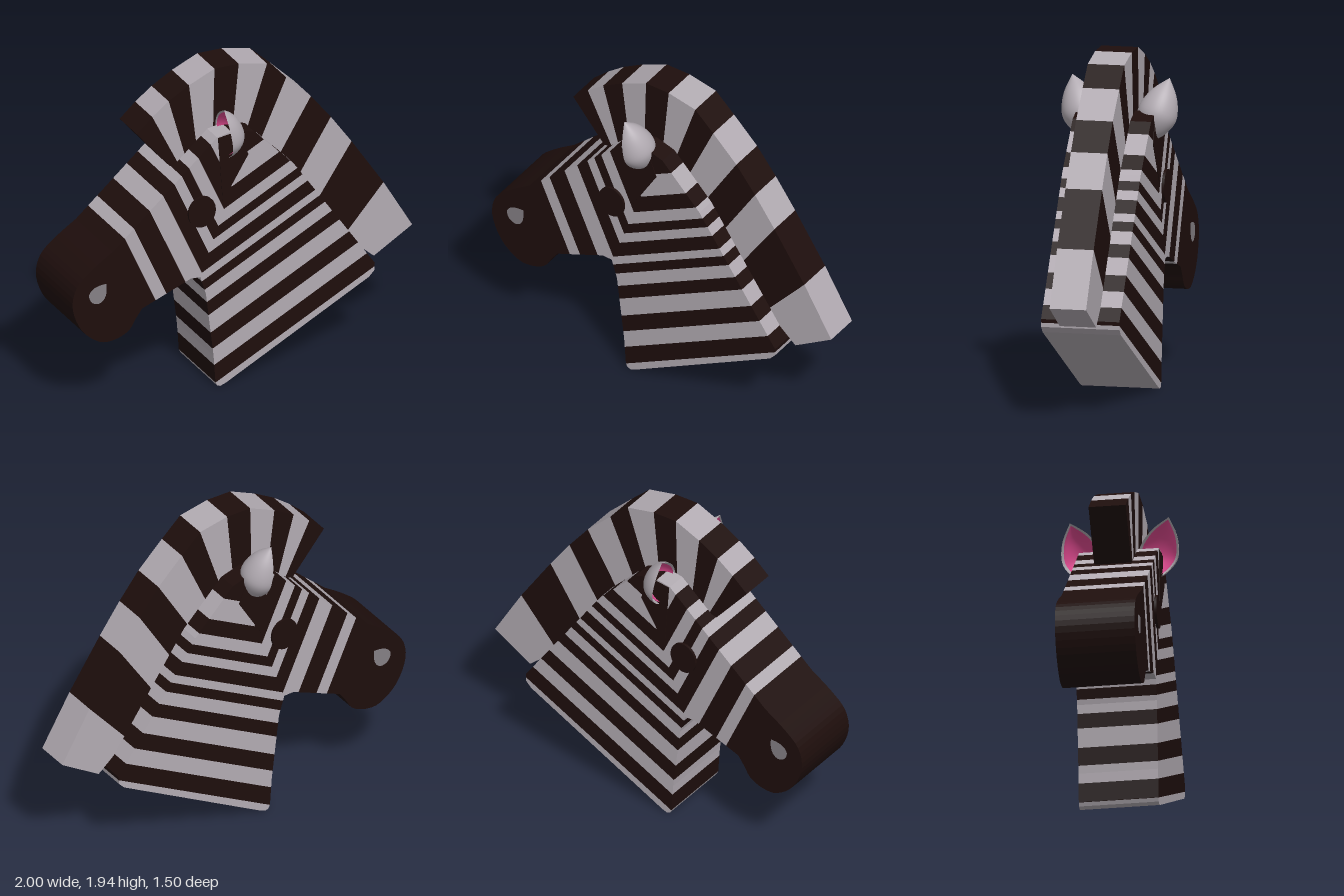
import * as THREE from 'three';

const light = new THREE.MeshStandardMaterial({ color: 0xb2abb2 });
const dark = new THREE.MeshStandardMaterial({ color: 0x1e0e0c });
const grey = new THREE.MeshStandardMaterial({ color: 0x858085 });
const shell = new THREE.MeshStandardMaterial({ color: 0xb2abb2, side: THREE.DoubleSide });
const pink = new THREE.MeshStandardMaterial({ color: 0xe04a90, side: THREE.BackSide });

const HEAD_WIDTH = 0.45, MANE_WIDTH = 0.21;

// keep the part of a polygon where f(point) >= 0
function clip(poly, f) {
  const out = [];
  poly.forEach((p, i) => {
    const q = poly[(i + 1) % poly.length], a = f(p), b = f(q);
    if (a >= 0) out.push(p);
    if ((a > 0 && b < 0) || (a < 0 && b > 0)) out.push(p.clone().lerp(q, a / (a - b)));
  });
  return out;
}

// a flat slab centred on z = 0
function slab(name, points, width, material) {
  const geometry = new THREE.ExtrudeGeometry(new THREE.Shape(points), { depth: width, bevelEnabled: false });
  geometry.translate(0, 0, -width / 2);
  const mesh = new THREE.Mesh(geometry, material);
  mesh.name = name;
  return mesh;
}

// cut a polygon into stripes of alternating colour along a field
function stripes(group, name, poly, field, limits, materials) {
  const edges = [-10, ...limits, 10];
  for (let i = 0; i < edges.length - 1; i++) {
    const piece = clip(clip(poly, p => field(p) - edges[i]), p => edges[i + 1] - field(p));
    if (piece.length > 2) group.add(slab(name, piece, HEAD_WIDTH, materials[i % 2]));
  }
}

const toPoints = list => list.map(([x, y]) => new THREE.Vector2(x, y));

export function createModel() {
  const root = new THREE.Group();
  root.name = 'stripedHorseHead';
  const body = new THREE.Group();
  body.name = 'turnedHead';
  body.rotation.y = 0.595;
  body.position.set(-0.014, 0, -0.021);
  root.add(body);

  // side profile: rounded muzzle, then brow, nape, neck and throat
  const muzzle = new THREE.SplineCurve(toPoints([
    [-0.605, 0.605], [-0.645, 0.55], [-0.69, 0.485], [-0.775, 0.45], [-0.87, 0.458], [-0.98, 0.55],
    [-1.04, 0.7], [-1.015, 0.83], [-0.92, 0.92], [-0.79, 1.005],
  ])).getPoints(36);
  const profile = [
    ...muzzle,
    ...toPoints([
      [-0.714, 1.07], [-0.135, 1.57], [-0.02, 1.59], [0.1, 1.55], [0.347, 1.29], [0.854, 0.545], [0.852, 0.5],
      [0.818, 0.465], [-0.08, 0.012], [-0.115, 0], [-0.135, 0.008], [-0.145, 0.03], [-0.157, 0.2], [-0.205, 0.6],
      [-0.24, 0.715], [-0.3, 0.72], [-0.497, 0.645],
    ]),
  ].reverse();

  // chevrons: head and neck stripes meet on a line rising from the throat
  const seam = p => p.x + 0.24 - 0.376 * (p.y - 0.715);
  const shared = [0.855, 0.948, 1.012, 1.075, 1.155, 1.26, 1.41, 1.52];
  stripes(body, 'neckStripe', clip(profile, seam), p => p.y - 0.497 * p.x,
    [0.1, 0.217, 0.327, 0.437, 0.557, 0.647, 0.735, 0.8, ...shared], [light, dark]);
  stripes(body, 'headStripe', clip(profile, p => -seam(p)), p => p.y + 2.24 * p.x,
    [-0.529, -0.35, -0.04, ...shared.map(n => 0.177 + 2.266 * (n - 0.834))], [dark, light]);

  // dark wedge below the ears
  body.add(slab('earPatch', toPoints([[-0.13, 1.565], [-0.1, 1.16], [0.06, 1.42], [0.0, 1.58]]),
    HEAD_WIDTH + 0.006, dark));

  // mane: fan of blocks between an outer and an inner outline
  const outer = toPoints([
    [-0.577, 1.64], [-0.48, 1.725], [-0.377, 1.8], [-0.25, 1.87], [-0.09, 1.937], [0.062, 1.932], [0.24, 1.89],
    [0.36, 1.775], [0.515, 1.62], [0.64, 1.46], [0.77, 1.275], [0.97, 0.97], [1.15, 0.66],
  ]);
  const inner = toPoints([
    [-0.37, 1.39], [-0.32, 1.4], [-0.27, 1.42], [-0.2, 1.46], [-0.1, 1.5], [0.02, 1.5], [0.1, 1.47],
    [0.18, 1.38], [0.28, 1.24], [0.4, 1.08], [0.53, 0.92], [0.72, 0.69], [0.91, 0.52],
  ]);
  for (let i = 0; i < outer.length - 1; i++) {
    body.add(slab('maneBlock', [outer[i], inner[i], inner[i + 1], outer[i + 1]], MANE_WIDTH, i % 2 ? light : dark));
  }

  // paired features
  const earProfile = new THREE.SplineCurve(toPoints([
    [0, 0], [0.065, 0.05], [0.108, 0.13], [0.108, 0.2], [0.07, 0.29], [0, 0.375],
  ])).getPoints(20).map(p => p.setX(Math.max(p.x, 0)));
  const earGeometry = new THREE.LatheGeometry(earProfile, 20, 0, Math.PI);
  const nostrilShape = new THREE.Shape();
  nostrilShape.moveTo(0.055, 0.055);
  nostrilShape.quadraticCurveTo(-0.04, 0.06, -0.055, 0.005);
  nostrilShape.quadraticCurveTo(-0.05, -0.055, 0.005, -0.06);
  nostrilShape.quadraticCurveTo(0.065, -0.05, 0.055, 0.055);

  for (const side of [1, -1]) {
    const features = new THREE.Group();
    features.name = side > 0 ? 'leftFeatures' : 'rightFeatures';
    features.scale.z = side;
    body.add(features);

    const eye = new THREE.Mesh(new THREE.CylinderGeometry(0.085, 0.085, 0.03, 28), dark);
    eye.name = 'eye';
    eye.rotation.x = Math.PI / 2;
    eye.scale.z = 1.12;
    eye.position.set(-0.235, 1.13, HEAD_WIDTH / 2);
    features.add(eye);

    const nostril = new THREE.Mesh(new THREE.ShapeGeometry(nostrilShape), grey);
    nostril.name = 'nostril';
    nostril.position.set(-0.885, 0.76, HEAD_WIDTH / 2 + 0.003);
    features.add(nostril);

    const ear = new THREE.Group();
    ear.name = 'ear';
    ear.position.set(-0.06, 1.41, 0.17);
    ear.rotation.set(0.3, 0, 0.16);
    const earShell = new THREE.Mesh(earGeometry, shell);
    earShell.name = 'earShell';
    const earLining = new THREE.Mesh(earGeometry, pink);
    earLining.name = 'earLining';
    earLining.scale.set(0.86, 0.92, 0.86);
    earLining.position.y = 0.015;
    ear.add(earShell, earLining);
    features.add(ear);
  }
  return root;
}
